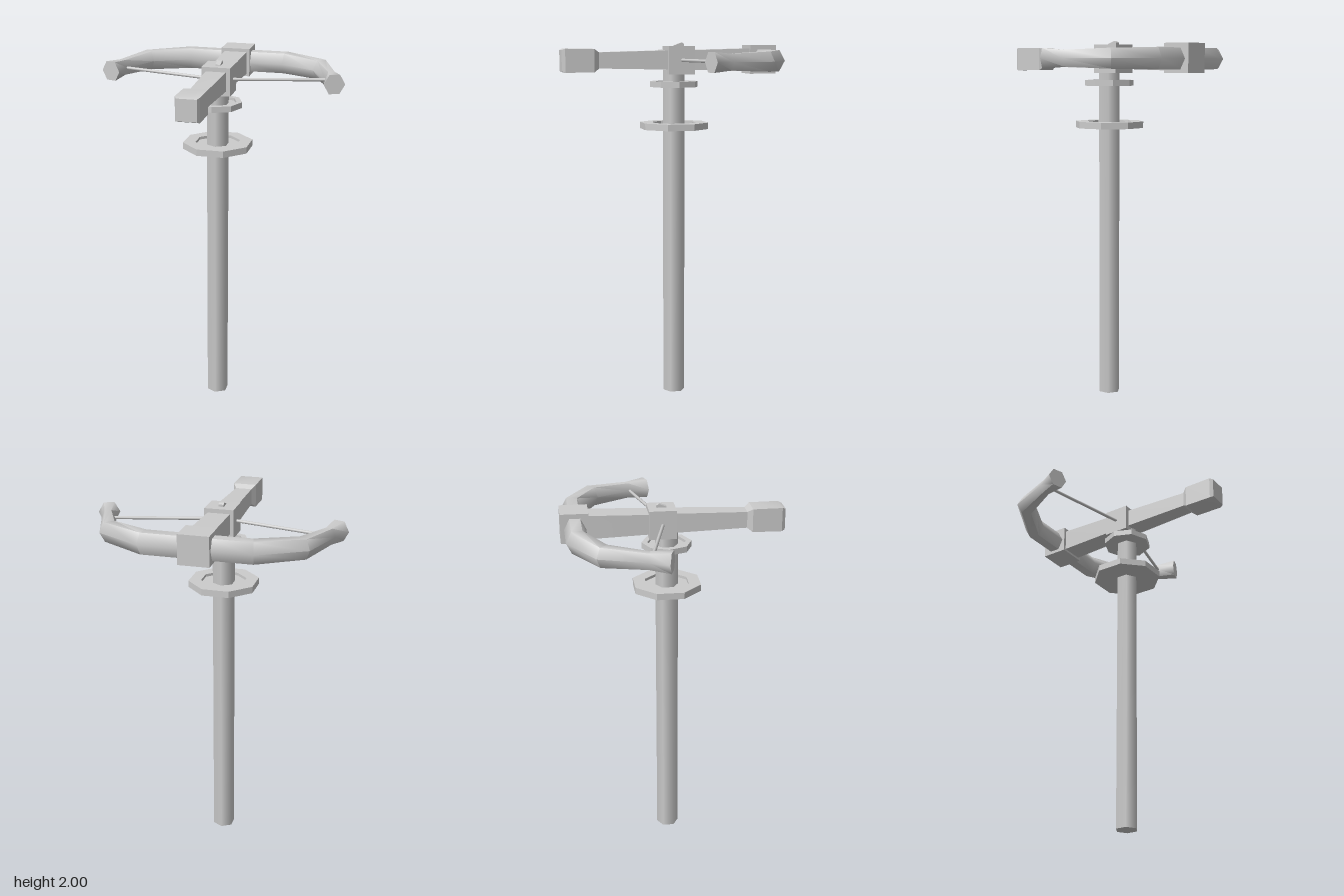
import * as THREE from 'three';
import { toCreasedNormals } from 'three/addons/utils/BufferGeometryUtils.js';

const POLE_Z = -0.033;
const BOW_Y = 1.903;
const material = new THREE.MeshStandardMaterial({ color: 0xcccccc });

function add(parent, name, geometry, x = 0, y = 0, z = 0) {
  const mesh = new THREE.Mesh(geometry, material);
  mesh.name = name;
  mesh.position.set(x, y, z);
  parent.add(mesh);
  return mesh;
}

// Closed skin through equally sized rings of points, with capped ends
function loft(rings, crease) {
  const n = rings[0].length, last = (rings.length - 1) * n, index = [];
  for (let i = 0; i < rings.length - 1; i++) {
    for (let j = 0; j < n; j++) {
      const a = i * n + j, b = i * n + (j + 1) % n;
      index.push(a, b, b + n, a, b + n, a + n);
    }
  }
  for (let j = 1; j < n - 1; j++) {
    index.push(0, j + 1, j, last, last + j, last + j + 1);
  }
  const geometry = new THREE.BufferGeometry().setFromPoints(rings.flat());
  geometry.setIndex(index);
  return toCreasedNormals(geometry, crease);
}

// Rectangular ring across z
const rect = ([z, halfWidth, bottom, top]) =>
  [[1, top], [-1, top], [-1, bottom], [1, bottom]].map(([s, y]) => new THREE.Vector3(s * halfWidth, y, z));

// Six-sided ring between an outer and an inner point of the bow
function bowRing([ox, oz, ix, iz, h]) {
  return Array.from({ length: 6 }, (_, k) => {
    const a = k * Math.PI / 3, c = Math.cos(a) / 2;
    return new THREE.Vector3(
      (ox + ix) / 2 + (ox - ix) * c,
      BOW_Y + h * Math.sin(a) / Math.sin(Math.PI / 3),
      (oz + iz) / 2 + (oz - iz) * c);
  });
}

// Eight-sided collar with a shallow recess in its top
function collar(radius, recess, bottom, top, turn) {
  const profile = [[0.03, bottom], [radius, bottom], [radius, top], [recess, top],
    [recess, top - 0.015], [0.03, top - 0.015]].map(p => new THREE.Vector2(...p));
  return toCreasedNormals(new THREE.LatheGeometry(profile, 8, turn), 0.5);
}

export function createModel() {
  const model = new THREE.Group();
  model.name = 'mountedCrossbow';

  // Stand
  add(model, 'pole', new THREE.CylinderGeometry(0.062, 0.062, 1.85, 6), 0, 0.925, POLE_Z);
  add(model, 'lowerCollar', collar(0.194, 0.125, 1.522, 1.558, Math.PI / 8), 0, 0, POLE_Z);
  add(model, 'upperCollar', collar(0.136, 0.105, 1.755, 1.787, 0), 0, 0, POLE_Z);

  // Stock, widening into the bow block at the back and the grip in front
  add(model, 'stock', loft([
    [-0.46, 0.065, 1.84, 1.967],
    [-0.13, 0.06, 1.85, 1.958],
    [0.01, 0.056, 1.852, 1.957],
    [0.4, 0.045, 1.86, 1.947],
  ].map(rect), 0.4));
  add(model, 'grip', loft([
    [0.395, 0.045, 1.86, 1.947],
    [0.423, 0.064, 1.84, 1.966],
    [0.582, 0.064, 1.838, 1.967],
    [0.6, 0.053, 1.845, 1.96],
  ].map(rect), 0.4));
  add(model, 'centreBlock', new THREE.BoxGeometry(0.158, 0.155, 0.147), 0, 1.903, -0.06);
  add(model, 'bowBlock', new THREE.BoxGeometry(0.164, 0.158, 0.15), 0, 1.906, -0.525);

  // Wedge-shaped catch on the centre block
  add(model, 'catch', loft([
    [-0.088, 0.014, 1.96, 1.992],
    [-0.075, 0.014, 1.96, 2.0],
    [-0.034, 0.014, 1.96, 1.985],
  ].map(rect), 0.2));

  // Bow: outer x, z, inner x, z, half height
  const half = [
    [0.06, -0.58, 0.06, -0.465, 0.057],
    [0.298, -0.58, 0.267, -0.465, 0.057],
    [0.546, -0.443, 0.463, -0.367, 0.052],
    [0.627, -0.2, 0.56, -0.178, 0.042],
    [0.682, -0.1, 0.572, -0.063, 0.052],
  ];
  const mirrored = half.map(([ox, oz, ix, iz, h]) => [-ox, oz, -ix, iz, h]).reverse();
  add(model, 'bow', loft([...mirrored, ...half].map(bowRing), 1.1));

  // Bowstring halves
  for (const side of [1, -1]) {
    const path = new THREE.LineCurve3(
      new THREE.Vector3(side * 0.04, BOW_Y, -0.053),
      new THREE.Vector3(side * 0.585, BOW_Y, -0.18));
    add(model, side > 0 ? 'leftString' : 'rightString', new THREE.TubeGeometry(path, 1, 0.009, 6));
  }
  return model;
}
